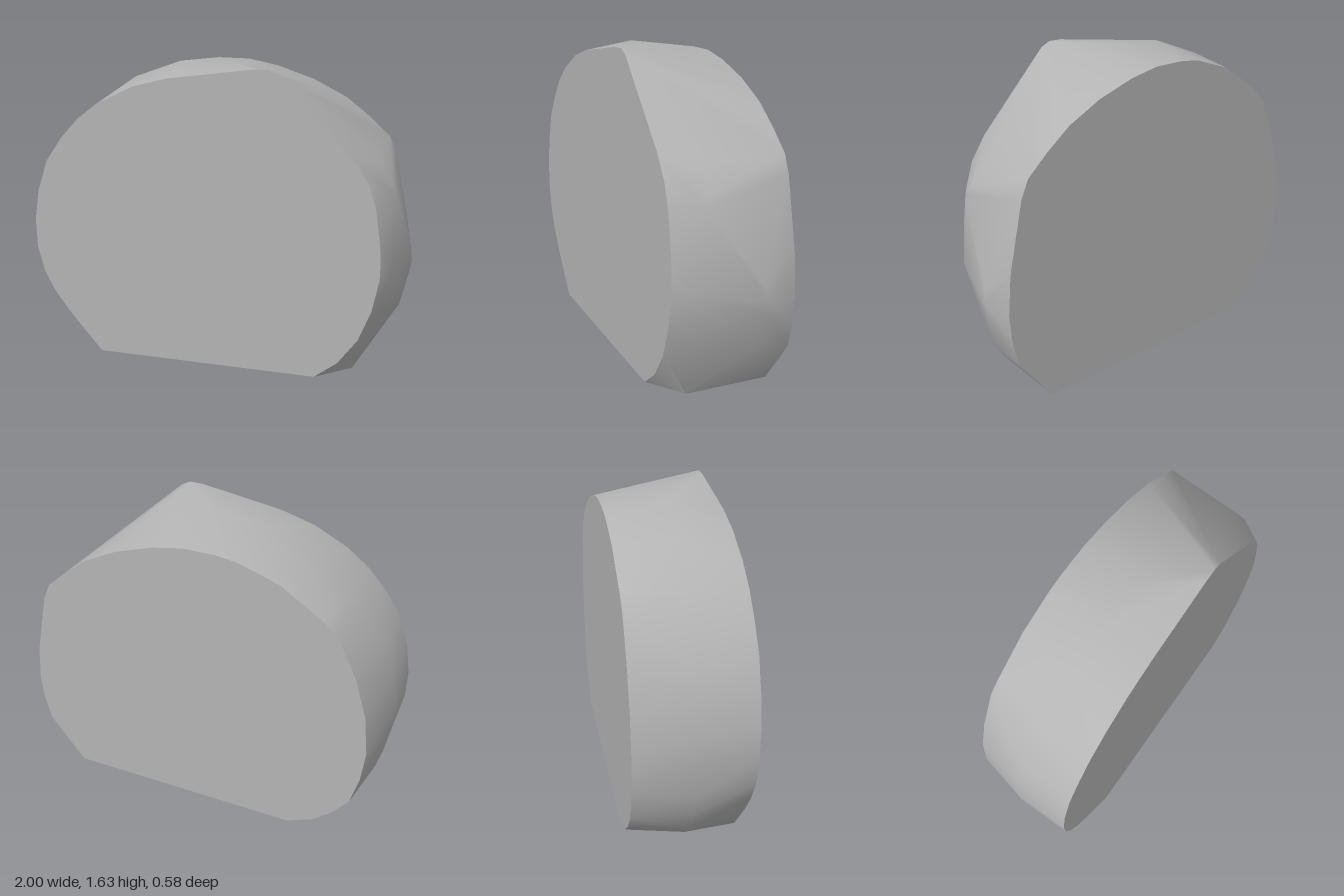
import * as THREE from 'three';
import { ConvexGeometry } from 'three/addons/geometries/ConvexGeometry.js';
import { toCreasedNormals } from 'three/addons/utils/BufferGeometryUtils.js';

const HALF_DEPTH = 0.29;

// Outline of the flat front face (x, y)
const front = [
  [-0.66, 0], [-0.74, 0.1], [-0.84, 0.23], [-0.92, 0.35], [-0.97, 0.46], [-1, 0.6], [-1, 0.76],
  [-0.97, 0.93], [-0.91, 1.1], [-0.82, 1.23], [-0.72, 1.34], [-0.6, 1.43], [-0.42, 1.52], [-0.24, 1.57],
  [0.2, 1.635], [0.27, 1.635], [0.32, 1.61], [0.69, 1.22], [0.77, 1.1], [0.81, 0.98],
  [0.84, 0.8], [0.85, 0.7], [0.85, 0.6], [0.82, 0.42], [0.76, 0.25], [0.66, 0.1], [0.54, 0],
];

// Outline of the flat back face (x, y)
const back = [
  [0.74, 0], [0.93, 0.26], [0.96, 0.4], [0.97, 0.54], [0.95, 0.75], [0.87, 1.1], [0.83, 1.19],
  [0.72, 1.29], [0.59, 1.39], [0.41, 1.48], [0.21, 1.545], [0.05, 1.575], [-0.12, 1.575],
  [-0.23, 1.56], [-0.44, 1.49], [-0.66, 1.345], [-0.73, 1.285], [-0.84, 1.065], [-0.905, 0.86],
  [-0.935, 0.63], [-0.92, 0.45], [-0.88, 0.28], [-0.8, 0.17], [-0.695, 0.07], [-0.55, 0],
];

// Rim bulges between the two faces (x, y, z)
const rim = [
  [-0.77, 0.07, 0], [-0.86, 0.16, 0], [-0.94, 0.3, 0], [-0.97, 0.42, 0], [-1, 0.62, 0], [-1, 0.74, 0],
  [-0.97, 0.93, 0], [-0.91, 1.1, 0], [-0.73, 1.35, 0], [-0.5, 1.51, 0], [-0.24, 1.61, 0.03], [0, 1.62, 0.03],
  [0.68, 1.29, 0.1], [0.8, 1.18, 0.08], [0.88, 1.05, 0.12], [0.9, 1, 0.15], [0.9, 0.6, 0.22],
  [0.99, 0.62, -0.12], [1, 0.55, -0.13], [0.99, 0.48, -0.13], [0.95, 0.29, -0.1], [0.73, 0, 0.15],
];

export function createModel() {
  const group = new THREE.Group();
  group.name = 'stoneSlab';

  const stone = new THREE.MeshStandardMaterial({ color: 0xb4b4b4 });
  stone.name = 'grey stone';

  const points = [
    ...front.map(([x, y]) => new THREE.Vector3(x, y, HALF_DEPTH)),
    ...back.map(([x, y]) => new THREE.Vector3(x, y, -HALF_DEPTH)),
    ...rim.map((p) => new THREE.Vector3(...p)),
  ];

  // Convex stone with a smooth rim and sharp edges around the flat faces
  const slab = new THREE.Mesh(toCreasedNormals(new ConvexGeometry(points), 0.6), stone);
  slab.name = 'slab';
  group.add(slab);
  return group;
}
